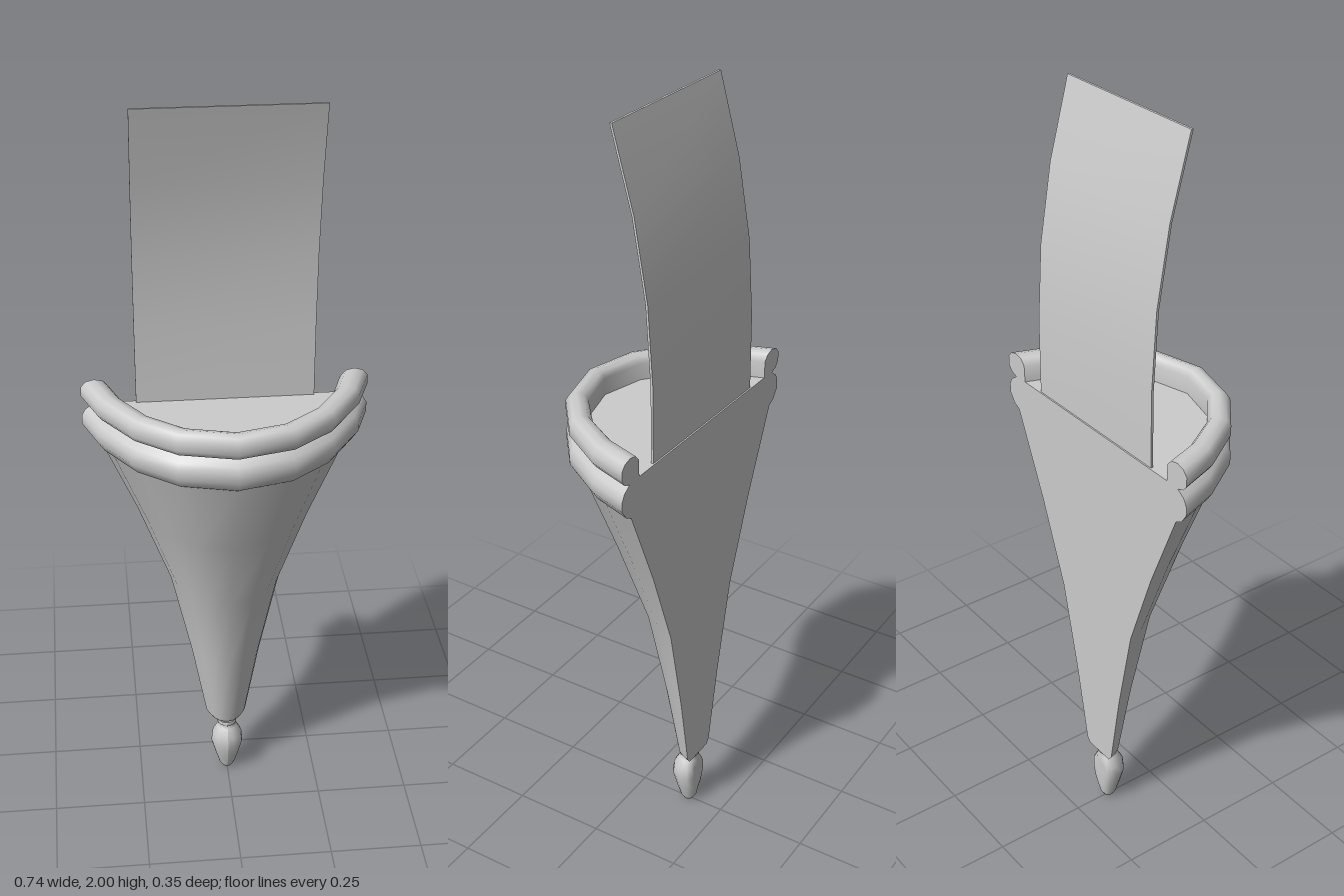
import * as THREE from 'three';
import { toCreasedNormals } from 'three/addons/utils/BufferGeometryUtils.js';

const BACK = -0.174;
const material = new THREE.MeshStandardMaterial({ color: 0xcccccc });

// Half-round outline of unit size, from the left end round the front to the right end
const quarter = [[1, 0], [0.895, 0.31], [0.68, 0.655], [0.395, 0.895], [0, 1]];
const outline = [...quarter, ...quarter.slice(0, 4).reverse().map(([x, z]) => [-x, z])];

// Profiles as [half width, height]
const cone = [[0.045, 0.17], [0.056, 0.185], [0.095, 0.4], [0.15, 0.65], [0.235, 0.88], [0.332, 1.105]];
const lowerRim = [[0.332, 1.105], [0.352, 1.115], [0.37, 1.14], [0.37, 1.165], [0.36, 1.183], [0.338, 1.198]];
const upperRim = [[0.338, 1.198], [0.358, 1.205], [0.37, 1.22], [0.37, 1.245], [0.357, 1.26],
  [0.335, 1.266], [0.312, 1.261], [0.298, 1.245], [0.297, 1.2]];
const floor = [[0.297, 1.2], [0, 1.2]];
const base = [[0, 0.17], [0.045, 0.17]];

// Depth towards the front for a given half width
const depth = (r) => (r > 0.28 ? 0.293 + (r - 0.297) * 0.753 : r);

// Sweeps a profile round the half-round outline
function skin(profile) {
  const n = outline.length, positions = [], index = [];
  for (const [r, y] of profile) {
    for (const [x, z] of outline) positions.push(x * r, y, BACK + z * depth(r));
  }
  for (let i = 0; i < profile.length - 1; i++) {
    for (let j = 0; j < n - 1; j++) {
      const a = i * n + j;
      index.push(a, a + n, a + 1, a + 1, a + n, a + n + 1);
    }
  }
  const geometry = new THREE.BufferGeometry();
  geometry.setAttribute('position', new THREE.Float32BufferAttribute(positions, 3));
  geometry.setIndex(index);
  geometry.computeVertexNormals();
  return geometry;
}

// Flat wall side, cut to the mirrored profile
function backGeometry() {
  const right = [...cone, ...lowerRim.slice(1), ...upperRim.slice(1)];
  const left = right.map(([x, y]) => [-x, y]).reverse();
  const shape = new THREE.Shape([...right, ...left].map(([x, y]) => new THREE.Vector2(x, y)));
  return new THREE.ShapeGeometry(shape).rotateY(Math.PI).translate(0, 0, BACK);
}

// Thin strip that rises behind the bowl and leans forward
function stripGeometry() {
  const path = [[-0.17, 1.2], [-0.168, 1.4], [-0.154, 1.6], [-0.119, 1.8], [-0.063, 2]];
  const front = path.map(([z, y]) => [z + 0.006, y]).reverse();
  const shape = new THREE.Shape([...path, ...front].map(([z, y]) => new THREE.Vector2(z, y)));
  const geometry = new THREE.ExtrudeGeometry(shape, { depth: 0.46, bevelEnabled: false });
  geometry.rotateY(-Math.PI / 2).translate(0.23, 0, 0);
  return toCreasedNormals(geometry, 0.6);
}

// Turned drop, pressed flat against the wall plane
function finialGeometry() {
  const profile = [[0, 0], [0.014, 0.003], [0.022, 0.016], [0.034, 0.055], [0.045, 0.095], [0.042, 0.125],
    [0.028, 0.15], [0.021, 0.157], [0.027, 0.163], [0.024, 0.172]];
  const geometry = new THREE.LatheGeometry(profile.map(([r, y]) => new THREE.Vector2(r, y)), 16);
  geometry.translate(0, 0, -0.146);
  const p = geometry.attributes.position;
  for (let i = 0; i < p.count; i++) p.setZ(i, Math.max(p.getZ(i), BACK + 0.002));
  geometry.computeVertexNormals();
  return geometry;
}

export function createModel() {
  const group = new THREE.Group();
  const add = (name, geometry) => {
    const mesh = new THREE.Mesh(geometry, material);
    mesh.name = name;
    group.add(mesh);
  };
  add('cone', skin(cone));
  add('lowerRim', skin(lowerRim));
  add('upperRim', skin(upperRim));
  add('floor', skin(floor));
  add('coneBase', skin(base));
  add('backPlate', backGeometry());
  add('strip', stripGeometry());
  add('finial', finialGeometry());
  return group;
}
